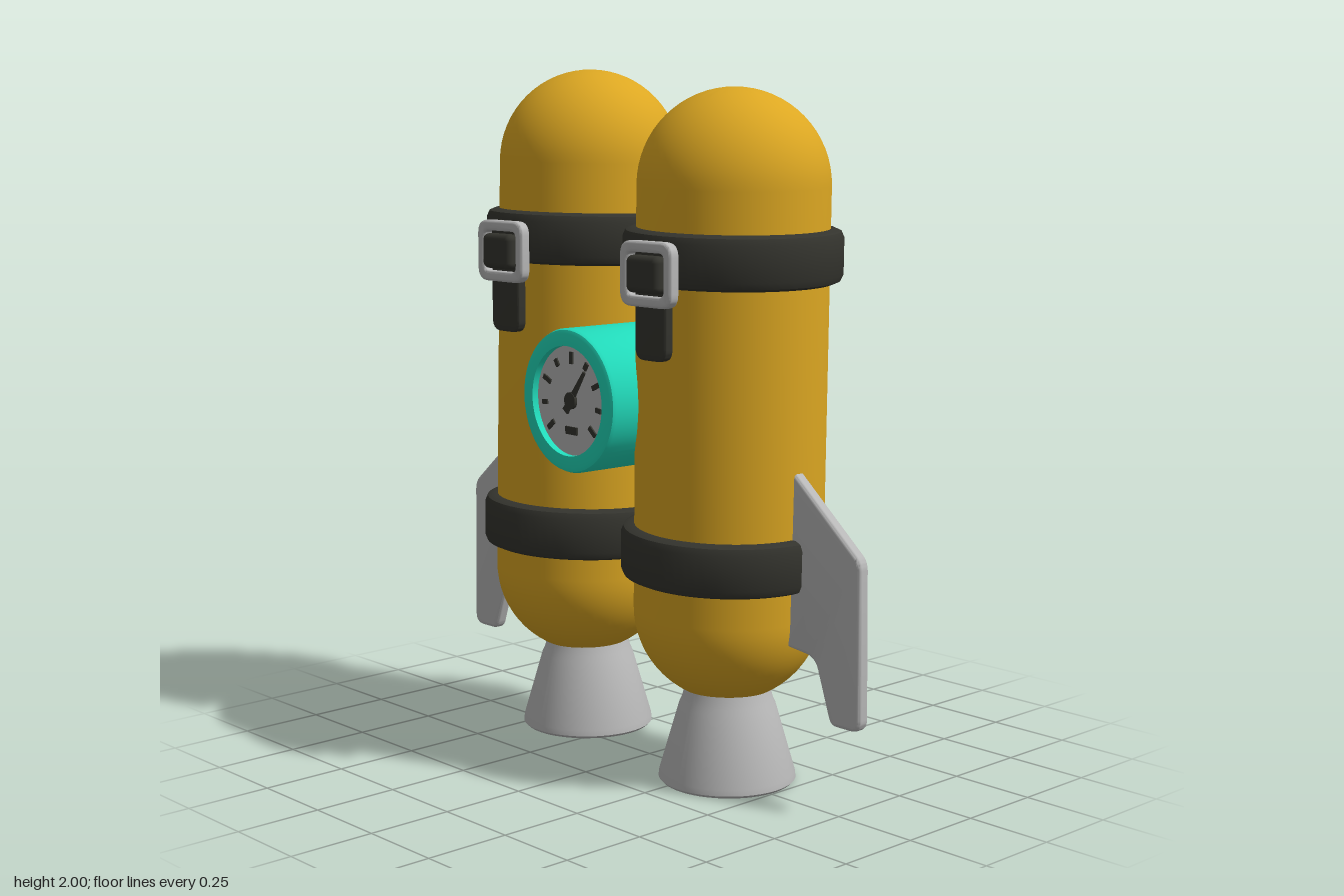
import * as THREE from 'three';
import { toCreasedNormals } from 'three/addons/utils/BufferGeometryUtils.js';
import { RoundedBoxGeometry } from 'three/addons/geometries/RoundedBoxGeometry.js';

const material = (name, color) => {
  const m = new THREE.MeshStandardMaterial({ color });
  m.name = name;
  return m;
};

export function createModel() {
  const yellow = material('yellow paint', 0xdca722);
  const rubber = material('dark rubber', 0x34342e);
  const steel = material('light steel', 0xb8b8b8);
  const teal = material('teal casing', 0x22dcbc);

  const model = new THREE.Group();
  model.name = 'twinTankJetpack';

  const add = (parent, name, geometry, mat, x = 0, y = 0, z = 0) => {
    const mesh = new THREE.Mesh(geometry, mat);
    mesh.name = name;
    mesh.position.set(x, y, z);
    parent.add(mesh);
    return mesh;
  };
  const group = (parent, name, x, y, z) => {
    const g = new THREE.Group();
    g.name = name;
    g.position.set(x, y, z);
    parent.add(g);
    return g;
  };
  const lathe = (points, segments = 64) => toCreasedNormals(
    new THREE.LatheGeometry(points.map(p => new THREE.Vector2(...p)), segments), 0.6);

  // Closed ring with bevelled edges
  const ring = (inner, outer, h, b) => lathe([
    [inner, -h / 2], [outer - b, -h / 2], [outer - b * 0.3, -h / 2 + b * 0.3], [outer, -h / 2 + b],
    [outer, h / 2 - b], [outer - b * 0.3, h / 2 - b * 0.3], [outer - b, h / 2], [inner, h / 2], [inner, -h / 2],
  ]);

  const roundedRect = (target, w, h, r) => {
    const x = w / 2, y = h / 2;
    target.moveTo(-x + r, -y);
    target.lineTo(x - r, -y).quadraticCurveTo(x, -y, x, -y + r);
    target.lineTo(x, y - r).quadraticCurveTo(x, y, x - r, y);
    target.lineTo(-x + r, y).quadraticCurveTo(-x, y, -x, y - r);
    target.lineTo(-x, -y + r).quadraticCurveTo(-x, -y, -x + r, -y);
    return target;
  };
  const extrude = (shape, depth, bevel) => toCreasedNormals(new THREE.ExtrudeGeometry(shape, {
    depth: depth - 2 * bevel, bevelEnabled: true, bevelThickness: bevel, bevelSize: bevel,
    bevelOffset: -bevel, bevelSegments: 3, curveSegments: 8,
  }).translate(0, 0, bevel - depth / 2), 0.6);

  // Shared geometries
  const strapGeo = ring(0.255, 0.303, 0.148, 0.025);
  const nozzleGeo = lathe([
    [0, 0.2], [0.1, 0.2], [0.157, 0.012], [0.165, 0], [0.187, 0], [0.195, 0.008],
    [0.193, 0.025], [0.137, 0.22], [0.13, 0.235], [0.12, 0.27],
  ]);

  const finShape = new THREE.Shape();
  finShape.moveTo(0.5, 0.98);
  finShape.lineTo(0.575, 0.92);
  finShape.lineTo(0.795, 0.73);
  finShape.quadraticCurveTo(0.813, 0.715, 0.814, 0.69);
  finShape.lineTo(0.82, 0.285);
  finShape.quadraticCurveTo(0.82, 0.25, 0.785, 0.25);
  finShape.lineTo(0.735, 0.25);
  finShape.quadraticCurveTo(0.712, 0.25, 0.705, 0.275);
  finShape.lineTo(0.665, 0.395);
  finShape.quadraticCurveTo(0.655, 0.425, 0.625, 0.43);
  finShape.lineTo(0.5, 0.445);
  const finGeo = extrude(finShape, 0.038, 0.01);

  const frameShape = roundedRect(new THREE.Shape(), 0.2, 0.175, 0.04);
  frameShape.holes.push(roundedRect(new THREE.Path(), 0.14, 0.115, 0.02));
  const frameGeo = extrude(frameShape, 0.034, 0.008);
  const tailGeo = extrude(roundedRect(new THREE.Shape(), 0.12, 0.32, 0.035), 0.03, 0.006);

  // Tanks: foot is where the axis meets the lower strap
  const tanks = [
    { name: 'frontTank', side: 1, foot: [0.02, 0.67, 0.305], tilt: [0.022, 0.01],
      low: 0.505, high: 1.685, strapY: 1.498, nozzle: [0.015, 0.005, 0.308], buckle: [-0.304, 1.46, 0.325] },
    { name: 'rearTank', side: -1, foot: [0.024, 0.67, -0.308], tilt: [0.01, -0.014],
      low: 0.53, high: 1.735, strapY: 1.522, nozzle: [0.025, 0.035, -0.304], buckle: [-0.276, 1.485, -0.318] },
  ];
  for (const t of tanks) {
    const assembly = group(model, t.name, 0, 0, 0);
    const tank = group(assembly, t.name + 'Body', ...t.foot);
    tank.rotation.set(t.tilt[0], 0, t.tilt[1]);

    // Domed cylinder
    const r = 0.266, profile = [];
    for (let i = 0; i <= 16; i++) {
      const a = -Math.PI / 2 + i / 16 * Math.PI / 2;
      profile.push([r * Math.cos(a), t.low + r * Math.sin(a) - 0.67]);
    }
    for (let i = 0; i <= 16; i++) {
      const a = i / 16 * Math.PI / 2;
      profile.push([r * Math.cos(a), t.high + r * Math.sin(a) - 0.67]);
    }
    add(tank, 'shell', lathe(profile), yellow);
    add(tank, 'lowerStrap', strapGeo, rubber);
    add(tank, 'upperStrap', strapGeo, rubber, 0, t.strapY - 0.67, 0);

    add(assembly, 'nozzle', nozzleGeo, steel, ...t.nozzle);
    const fin = add(assembly, 'fin', finGeo, steel, 0.016, 0, 0);
    fin.rotation.y = -t.side * Math.PI / 2;

    // Buckle with the strap end threaded through it
    const buckle = group(assembly, 'buckle', ...t.buckle);
    buckle.rotation.y = -Math.PI / 2;
    add(buckle, 'buckleFrame', frameGeo, steel);
    add(buckle, 'strapLoop', new RoundedBoxGeometry(0.125, 0.1, 0.05, 3, 0.018), rubber, 0, 0, 0.008);
    add(buckle, 'strapTail', tailGeo, rubber, 0, -0.072, -0.018);
  }

  // Pressure gauge between the tanks, facing -x
  const gauge = group(model, 'gauge', -0.153, 1.085, -0.008);
  gauge.rotation.y = -Math.PI / 2 - 0.04;
  add(gauge, 'gaugeCasing', ring(0.155, 0.203, 0.3, 0.014), teal).rotation.x = Math.PI / 2;
  add(gauge, 'gaugeCore', new THREE.CylinderGeometry(0.158, 0.158, 0.26, 48), steel).rotation.x = Math.PI / 2;

  // Dial markings
  const face = 0.132;
  for (let i = 0; i < 9; i++) {
    const a = (-40 + i * 32.5) * Math.PI / 180;
    const tick = add(gauge, 'dialTick', new THREE.BoxGeometry(i % 2 ? 0.022 : 0.034, 0.014, 0.006), rubber,
      0.12 * Math.cos(a), 0.12 * Math.sin(a), face);
    tick.rotation.z = a;
  }
  const needle = new THREE.Shape();
  needle.moveTo(-0.04, -0.012);
  needle.lineTo(-0.04, 0.012);
  needle.lineTo(0.105, 0.004);
  needle.lineTo(0.105, -0.004);
  add(gauge, 'needle', new THREE.ExtrudeGeometry(needle, { depth: 0.006, bevelEnabled: false }),
    rubber, 0, 0, face).rotation.z = 0.95;
  add(gauge, 'needleHub', new THREE.CylinderGeometry(0.024, 0.024, 0.009, 20), rubber, 0, 0, face + 0.003)
    .rotation.x = Math.PI / 2;
  add(gauge, 'dialWindow', new THREE.BoxGeometry(0.05, 0.022, 0.006), rubber, 0, -0.085, face);

  return model;
}
